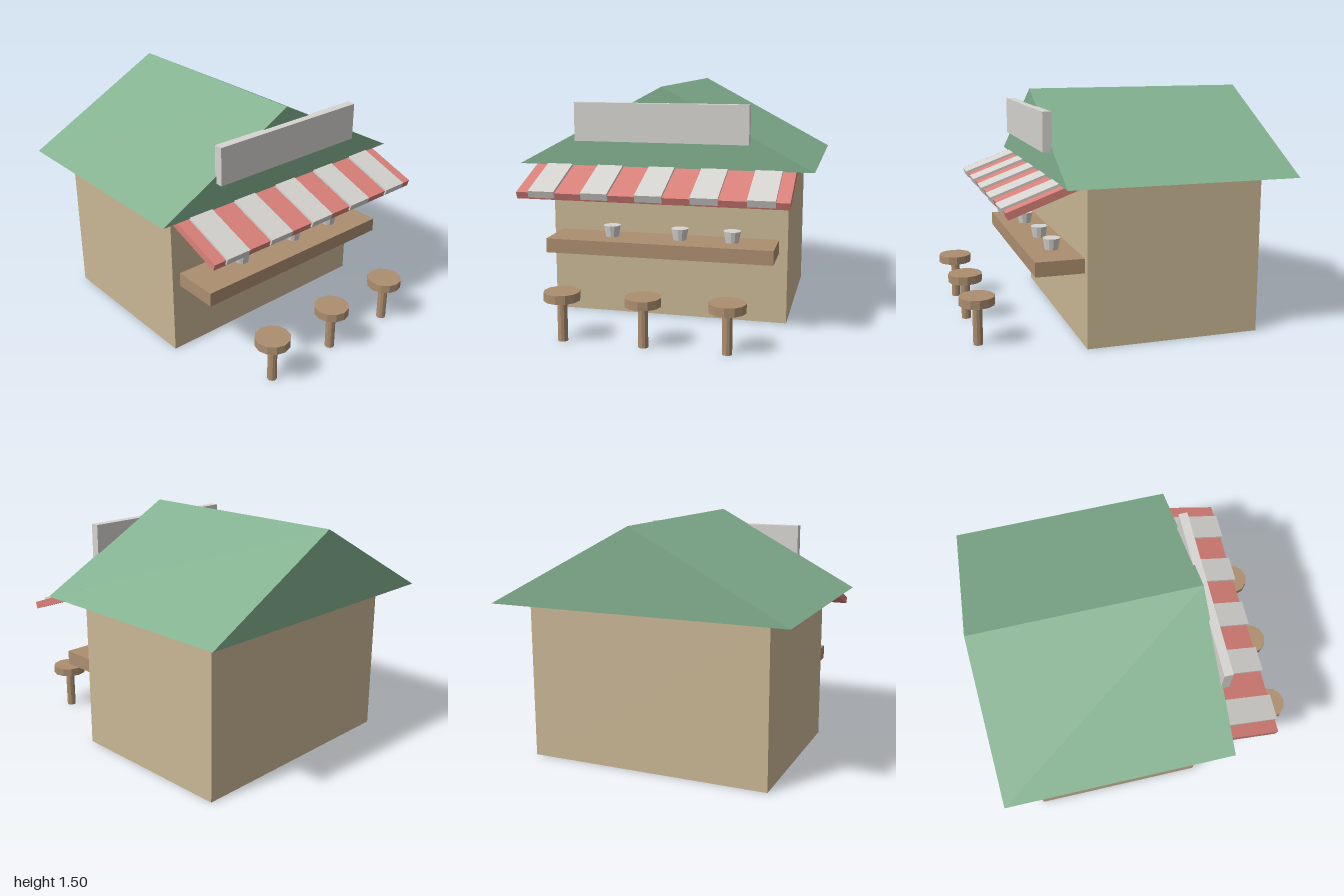
import * as THREE from 'three';

const mat = (name, color, flat = false) => {
  const m = new THREE.MeshStandardMaterial({ color, flatShading: flat });
  m.name = name;
  return m;
};

export function createModel() {
  const wall = mat('tan wall', 0xc9b795);
  const green = mat('roof green', 0x82b08f);
  const wood = mat('brown wood', 0xac8e6f, true);
  const red = mat('awning red', 0xd98179);
  const white = mat('off white', 0xd6d4d0, true);

  const model = new THREE.Group();
  model.name = 'foodStall';

  const add = (name, geometry, material, x, y, z, parent = model) => {
    const mesh = new THREE.Mesh(geometry, material);
    mesh.name = name;
    mesh.position.set(x, y, z);
    parent.add(mesh);
    return mesh;
  };
  const box = (w, h, d) => new THREE.BoxGeometry(w, h, d);

  // Hut body
  add('body', box(1.55, 1, 1.11), wall, 0, 0.5, -0.275);

  // Gabled roof: a triangle extruded from back to front
  const gable = new THREE.Shape([
    new THREE.Vector2(-0.94, 1),
    new THREE.Vector2(0.94, 1),
    new THREE.Vector2(0, 1.5),
  ]);
  add('roof', new THREE.ExtrudeGeometry(gable, { depth: 1.44, bevelEnabled: false }), green, 0, 0, -1);

  // Blank sign board on the front gable
  add('signBoard', box(1.1, 0.24, 0.056), white, 0, 1.28, 0.458);

  // Sloping awning with raised stripes
  const awning = new THREE.Group();
  awning.name = 'awning';
  awning.position.set(0, 0.945, 0.5);
  awning.rotation.x = THREE.MathUtils.degToRad(20);
  model.add(awning);
  add('awningSheet', box(1.66, 0.045, 0.55), red, 0, 0, 0, awning);
  for (let i = -2; i <= 2; i++) {
    add('awningStripe', box(0.165, 0.045, 0.56), white, i / 3, 0.015, 0.005, awning);
  }

  // Serving counter with cups
  add('counter', box(1.44, 0.09, 0.3), wood, 0, 0.5, 0.43);
  for (const x of [-0.333, 0.11, 0.443]) {
    add('cup', new THREE.CylinderGeometry(0.055, 0.042, 0.072, 12), white, x, 0.581, 0.413);
  }

  // Stools
  for (const x of [-0.5, 0, 0.5]) {
    const stool = new THREE.Group();
    stool.name = 'stool';
    stool.position.set(x, 0, 0.89);
    model.add(stool);
    add('stoolSeat', new THREE.CylinderGeometry(0.11, 0.11, 0.053, 12), wood, 0, 0.281, 0, stool);
    add('stoolLeg', new THREE.CylinderGeometry(0.03, 0.03, 0.256, 10), wood, 0, 0.128, 0, stool);
  }

  return model;
}
